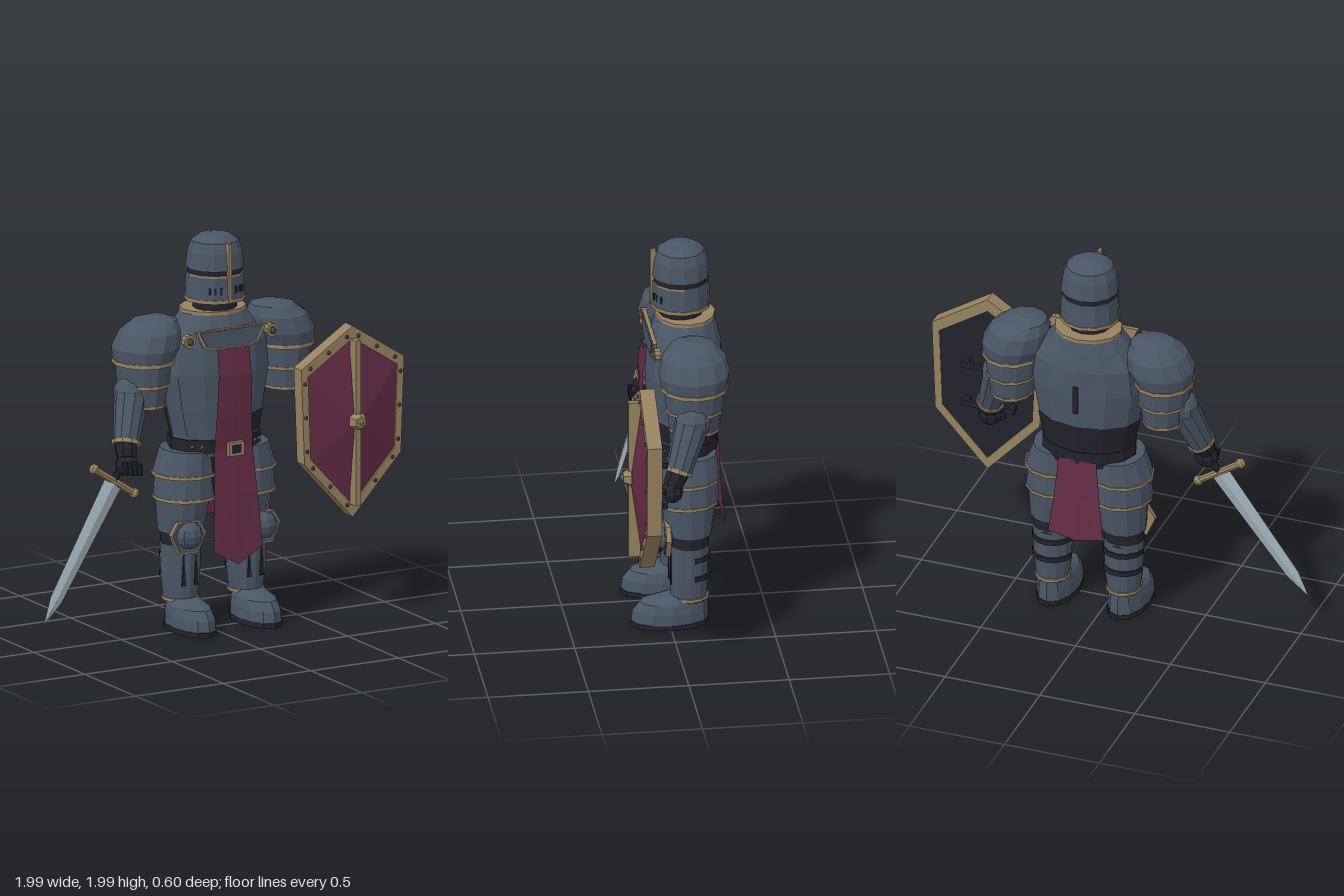
import * as THREE from 'three';

const mat = (name, color) => Object.assign(new THREE.MeshStandardMaterial({ color }), { name });

export function createModel() {
  const steel = mat('steel', 0x4a5666), dark = mat('darkLeather', 0x22222c), brass = mat('brass', 0x978260);
  const cloth = mat('redCloth', 0x642c44), blade = mat('bladeSteel', 0xa3b4bf), rivet = mat('rivet', 0x5e5140);
  cloth.side = THREE.DoubleSide;
  const root = new THREE.Group();
  root.name = 'knight';
  const CX = 0.08;

  const flat = (g) => {
    const f = g.index ? g.toNonIndexed() : g;
    f.computeVertexNormals();
    return f;
  };
  const add = (name, g, m, p = [0, 0, 0], parent = root) => {
    const mesh = new THREE.Mesh(flat(g), m);
    mesh.name = name;
    mesh.position.set(...p);
    parent.add(mesh);
    return mesh;
  };
  // Skin through elliptical rings [y, rx, rz, cx, cz], bottom to top; angle 0 faces +z
  const loft = (rings, n = 12, a0 = 0, a1 = Math.PI * 2, caps = true) => {
    const pos = [], idx = [], w = n + 1;
    for (const [y, rx, rz, cx = 0, cz = 0] of rings)
      for (let j = 0; j <= n; j++) {
        const t = a0 + (a1 - a0) * j / n;
        pos.push(cx + rx * Math.sin(t), y, cz + rz * Math.cos(t));
      }
    for (let i = 0; i < rings.length - 1; i++)
      for (let j = 0; j < n; j++) {
        const a = i * w + j;
        idx.push(a, a + 1, a + w + 1, a, a + w + 1, a + w);
      }
    if (caps) for (const i of [0, rings.length - 1]) {
      const [y, , , cx = 0, cz = 0] = rings[i], c = pos.length / 3, o = i * w;
      pos.push(cx, y, cz);
      for (let j = 0; j < n; j++) i ? idx.push(c, o + j, o + j + 1) : idx.push(c, o + j + 1, o + j);
    }
    const g = new THREE.BufferGeometry();
    g.setAttribute('position', new THREE.Float32BufferAttribute(pos, 3));
    g.setIndex(idx);
    return g;
  };
  const band = (name, y, h, rx, rz, cx, cz, m = brass, n = 12) =>
    add(name, loft([[y - h / 2, rx, rz, cx, cz], [y + h / 2, rx, rz, cx, cz]], n), m);
  const limb = (name, a, b, ra, rb, m, n = 10) => {
    const A = new THREE.Vector3(...a), B = new THREE.Vector3(...b), d = B.clone().sub(A);
    const mesh = add(name, new THREE.CylinderGeometry(rb, ra, d.length(), n), m);
    mesh.position.copy(A).lerp(B, 0.5);
    mesh.quaternion.setFromUnitVectors(new THREE.Vector3(0, 1, 0), d.normalize());
    return mesh;
  };
  const polygon = (pts, k = 1) => new THREE.Shape(pts.map(([x, y]) => new THREE.Vector2(x * k, y * k)));
  const plate = (shape, depth) => new THREE.ExtrudeGeometry(shape, { depth, bevelEnabled: false });
  const box = (...s) => new THREE.BoxGeometry(...s);

  // Helmet and neck
  const HZ = -0.083;
  add('neck', new THREE.CylinderGeometry(0.11, 0.11, 0.12, 12), dark, [CX, 1.62, HZ]);
  add('helmetFace', loft([[1.65, 0.15, 0.148, CX, HZ], [1.79, 0.143, 0.141, CX, HZ]]), steel);
  band('eyeSlot', 1.802, 0.024, 0.138, 0.136, CX, HZ, dark);
  add('helmetCrown', loft([[1.814, 0.146, 0.144, CX, HZ], [1.9, 0.136, 0.135, CX, HZ], [1.95, 0.118, 0.117, CX, HZ],
    [1.975, 0.08, 0.08, CX, HZ], [1.985, 0.02, 0.02, CX, HZ]]), steel);
  band('helmetRim', 1.66, 0.018, 0.153, 0.151, CX, HZ);
  add('browTrim', loft([[1.782, 0.148, 0.146, CX, HZ], [1.794, 0.148, 0.146, CX, HZ]], 6, -Math.PI / 2, Math.PI / 2, false), brass);
  add('helmetRidge', box(0.018, 0.3, 0.03), brass, [CX, 1.805, 0.055]);
  for (const s of [-1, 1]) for (let i = 0; i < 3; i++) {
    const t = s * (0.3 + i * 0.2);
    add('breathHole', box(0.012, 0.035, 0.008), dark, [CX + Math.sin(t) * 0.143, 1.715, HZ + Math.cos(t) * 0.142]).rotation.y = t;
  }

  // Torso with bare leather low on the back
  const body = [[0.88, 0.232, 0.165, CX, -0.09], [0.98, 0.235, 0.168, CX, -0.09], [1.12, 0.266, 0.18, CX, -0.094],
    [1.3, 0.3, 0.19, CX, -0.096], [1.44, 0.285, 0.185, CX, -0.1], [1.53, 0.215, 0.165, CX, -0.1], [1.6, 0.165, 0.142, CX, -0.105]];
  add('cuirass', loft(body), steel);
  const lower = body.slice(0, 3).map(([y, a, b, c, z]) => [y, a + 0.005, b + 0.005, c, z]);
  add('backLeather', loft(lower, 6, Math.PI / 2, Math.PI * 1.5, false), dark);
  add('sideLeather', loft(lower.slice(1).map((r, i) => (i ? [1.08, 0.263, 0.178, CX, -0.093] : r)), 1, Math.PI / 6, Math.PI / 3, false), dark);
  add('backClasp', box(0.025, 0.15, 0.012), dark, [CX, 1.28, -0.288]);
  band('collar', 1.6, 0.018, 0.172, 0.15, CX, -0.105);

  // Gorget plate and roundels
  const gorget = [[-0.2, 0.045], [-0.155, -0.04], [-0.1, -0.058], [0.1, -0.058], [0.155, -0.04], [0.2, 0.045]];
  add('gorgetTrim', plate(polygon(gorget), 0.02), brass, [CX, 1.485, 0.06]);
  add('gorgetPlate', plate(polygon(gorget, 0.9), 0.008), steel, [CX, 1.485, 0.078]);
  for (const s of [-1, 1]) {
    add('roundel', new THREE.CylinderGeometry(0.034, 0.034, 0.03, 10), brass, [CX + s * 0.235, 1.49, 0.065]).rotation.x = Math.PI / 2;
    add('roundelStud', new THREE.SphereGeometry(0.02, 8, 5), rivet, [CX + s * 0.235, 1.49, 0.08]);
  }

  // Belt and buckle
  band('belt', 0.935, 0.065, 0.246, 0.18, CX, -0.09, dark);
  for (const x of [-0.19, -0.15, 0.15, 0.19])
    add('beltStud', new THREE.SphereGeometry(0.01, 6, 4), brass, [CX + x, 0.935, Math.abs(x) > 0.17 ? 0.025 : 0.05]);
  add('buckle', box(0.085, 0.07, 0.025), brass, [CX, 0.927, 0.122]);
  add('buckleCentre', box(0.05, 0.042, 0.008), dark, [CX, 0.927, 0.135]);

  // Hanging cloths from rows [y, half width, z]
  const ribbon = (name, rows, tip) => {
    const g = new THREE.PlaneGeometry(2, 1, 2, rows.length - 1), p = g.attributes.position;
    rows.forEach(([y, w, z], i) => {
      for (let j = 0; j < 3; j++)
        p.setXYZ(i * 3 + j, CX + (j - 1) * w, y - (i === rows.length - 1 && j === 1 ? tip : 0), z + (j === 1 ? Math.sign(z) * 0.006 : 0));
    });
    add(name, g, cloth);
  };
  ribbon('tabardFront', [[1.435, 0.09, 0.1], [1.3, 0.093, 0.118], [1.1, 0.1, 0.112], [0.93, 0.108, 0.1], [0.7, 0.122, 0.125], [0.42, 0.14, 0.148]], 0.075);
  ribbon('tabardBack', [[0.92, 0.1, -0.262], [0.7, 0.12, -0.27], [0.5, 0.145, -0.288]], 0.025);
  add('hips', loft([[0.68, 0.17, 0.12, CX, -0.09], [0.9, 0.22, 0.15, CX, -0.09]]), dark);

  const kneeHex = [[-0.1, 0.015], [-0.06, 0.08], [0.06, 0.08], [0.1, 0.015], [0.055, -0.085], [-0.055, -0.085]];
  for (const s of [-1, 1]) {
    const X = (o) => CX + s * o;
    // Shoulder and upper arm
    const ring = (y, rx, rz, o, z = -0.1) => [y, rx, rz, X(o), z];
    add('pauldron', loft([ring(1.375, 0.145, 0.16, 0.4), ring(1.45, 0.167, 0.178, 0.385), ring(1.53, 0.15, 0.16, 0.36),
      ring(1.58, 0.11, 0.11, 0.335), ring(1.6, 0.04, 0.04, 0.32)]), steel);
    band('pauldronTrim', 1.38, 0.02, 0.152, 0.167, X(0.4), -0.1);
    add('shoulderLame', loft([ring(1.26, 0.125, 0.142, 0.4), ring(1.375, 0.135, 0.15, 0.4)]), steel);
    band('lameTrim', 1.265, 0.014, 0.129, 0.146, X(0.4), -0.1);
    add('upperArmLame', loft([ring(1.155, 0.105, 0.125, 0.4), ring(1.26, 0.12, 0.137, 0.4)]), steel);
    band('upperArmTrim', 1.16, 0.014, 0.109, 0.129, X(0.4), -0.1);
    // Elbow, forearm and gauntlet
    const elbow = [X(0.475), 1.23, -0.08], wrist = [X(0.555), 1.0, 0.0];
    add('elbow', new THREE.SphereGeometry(0.092, 10, 7), steel, elbow);
    limb('forearm', elbow, wrist, 0.088, 0.066, steel);
    limb('cuffTrim', [X(0.551), 1.008, -0.003], [X(0.557), 0.99, 0.004], 0.073, 0.073, brass);
    limb('wrist', wrist, [X(0.57), 0.93, 0.035], 0.06, 0.05, dark, 8);
    const hand = add('hand', new THREE.SphereGeometry(0.062, 8, 6), dark, [X(0.57), 0.9, 0.035]);
    hand.scale.set(1, 0.95, 0.9);
    for (let i = 0; i < 4; i++)
      limb('finger', [X(0.61 - i * 0.027), 0.925 - i * 0.005, 0.085], [X(0.6 - i * 0.027), 0.86 - i * 0.004, 0.08], 0.015, 0.014, dark, 6);

    // Tassets and thigh
    add('tassetUpper', loft([ring(0.78, 0.16, 0.165, 0.17, -0.09), ring(0.91, 0.125, 0.152, 0.16, -0.09)]), steel);
    add('tassetLower', loft([ring(0.66, 0.155, 0.16, 0.17, -0.09), ring(0.79, 0.142, 0.155, 0.17, -0.09)]), steel);
    band('tassetUpperTrim', 0.785, 0.016, 0.163, 0.168, X(0.17), -0.09);
    band('tassetLowerTrim', 0.665, 0.016, 0.158, 0.163, X(0.17), -0.09);
    add('thigh', loft([ring(0.49, 0.115, 0.115, 0.185), ring(0.67, 0.135, 0.14, 0.175)]), steel);
    // Knee
    band('kneeLeather', 0.455, 0.08, 0.1, 0.1, X(0.187), -0.1, dark);
    add('kneeTrim', plate(polygon(kneeHex), 0.025), brass, [X(0.212), 0.48, 0.002]);
    add('kneePlate', plate(polygon(kneeHex, 0.9), 0.008), steel, [X(0.212), 0.48, 0.025]);
    add('kneeCop', new THREE.SphereGeometry(0.075, 8, 6), steel, [X(0.212), 0.49, 0.03]).scale.set(1, 0.9, 0.75);
    // Greave with slits in front and straps behind
    add('greave', loft([ring(0.13, 0.082, 0.09, 0.187), ring(0.27, 0.098, 0.098, 0.187), ring(0.43, 0.102, 0.1, 0.187)]), steel);
    for (const [dx, y, h, w] of [[-0.035, 0.3, 0.15, 0.022], [0.035, 0.31, 0.17, 0.022]])
      add('greaveSlit', plate(polygon([[-w / 2, -h / 2], [w / 2, -h / 2], [0, h / 2]]), 0.006), dark, [X(0.187 + dx), y, -0.008]);
    for (const y of [0.27, 0.37])
      add('calfStrap', loft([[y - 0.013, 0.106, 0.108, X(0.187), -0.1], [y + 0.013, 0.106, 0.108, X(0.187), -0.1]], 6, Math.PI * 0.55, Math.PI * 1.45), dark);
    band('ankleTrim', 0.147, 0.016, 0.09, 0.1, X(0.187), -0.1);
    // Boot
    add('boot', loft([ring(0.02, 0.101, 0.193, 0.187, -0.003), ring(0.08, 0.1, 0.188, 0.187, -0.006),
      ring(0.125, 0.09, 0.168, 0.187, -0.022), ring(0.157, 0.07, 0.105, 0.187, -0.085)]), steel);
    band('sole', 0.0125, 0.025, 0.104, 0.196, X(0.187), -0.003, dark);
  }

  // Sword, local -y toward the tip
  const sword = new THREE.Group();
  sword.name = 'sword';
  sword.position.set(-0.56, 0.823, 0.03);
  sword.quaternion.setFromUnitVectors(new THREE.Vector3(0, -1, 0), new THREE.Vector3(-0.44, -0.66, 0.07).normalize());
  add('blade', loft([[-0.795, 0.002, 0.002], [-0.66, 0.036, 0.009], [0, 0.054, 0.014]], 4), blade, [0, 0, 0], sword);
  add('guard', new THREE.CylinderGeometry(0.019, 0.019, 0.27, 8), brass, [0, 0, 0], sword).rotation.z = Math.PI / 2;
  for (const s of [-1, 1]) add('guardEnd', new THREE.SphereGeometry(0.026, 8, 6), brass, [s * 0.135, 0, 0], sword);
  add('grip', new THREE.CylinderGeometry(0.018, 0.018, 0.15, 8), dark, [0, 0.075, 0], sword);

  // Shield: framed hexagon with a raised field
  const shield = new THREE.Group();
  shield.name = 'shield';
  shield.position.set(0.7, 1, 0);
  root.add(sword, shield);
  const outer = [[0, 0.49], [-0.293, 0.3], [-0.275, -0.185], [0, -0.485], [0.275, -0.185], [0.293, 0.3]];
  const inner = outer.map(([x, y]) => [x * 0.87, y * 0.87]);
  const frame = polygon(outer);
  frame.holes.push(polygon(inner));
  add('shieldRim', plate(frame, 0.075), brass, [0, 0, 0.13], shield);
  add('shieldBack', plate(polygon(inner), 0.008), dark, [0, 0, 0.132], shield);
  const tri = [];
  inner.forEach(([x, y], i) => {
    const [u, v] = inner[(i + 1) % 6];
    tri.push(0, 0, 0.253, x, y, 0.195, u, v, 0.195);
  });
  const field = new THREE.BufferGeometry();
  field.setAttribute('position', new THREE.Float32BufferAttribute(tri, 3));
  add('shieldField', field, cloth, [0, 0, 0], shield);
  add('shieldSpine', box(0.03, 0.84, 0.06), brass, [0, 0.005, 0.232], shield);
  add('shieldBoss', new THREE.CylinderGeometry(0.03, 0.05, 0.04, 6), brass, [0, 0.015, 0.268], shield).rotation.x = Math.PI / 2;
  add('bossStud', new THREE.SphereGeometry(0.015, 8, 6), brass, [0, 0.015, 0.287], shield);
  outer.forEach(([x, y], i) => {
    const [u, v] = outer[(i + 1) % 6];
    for (const k of [0.12, 0.5, 0.88])
      add('rimRivet', new THREE.SphereGeometry(0.011, 6, 4), rivet, [(x + (u - x) * k) * 0.935, (y + (v - y) * k) * 0.935, 0.206], shield);
  });
  for (const y of [-0.1, 0.12]) {
    add('shieldStrap', box(0.28, 0.03, 0.022), dark, [-0.02, y, 0.09], shield);
    for (const x of [-0.14, 0.1]) add('strapMount', box(0.025, 0.03, 0.05), dark, [x, y, 0.11], shield);
  }
  return root;
}
